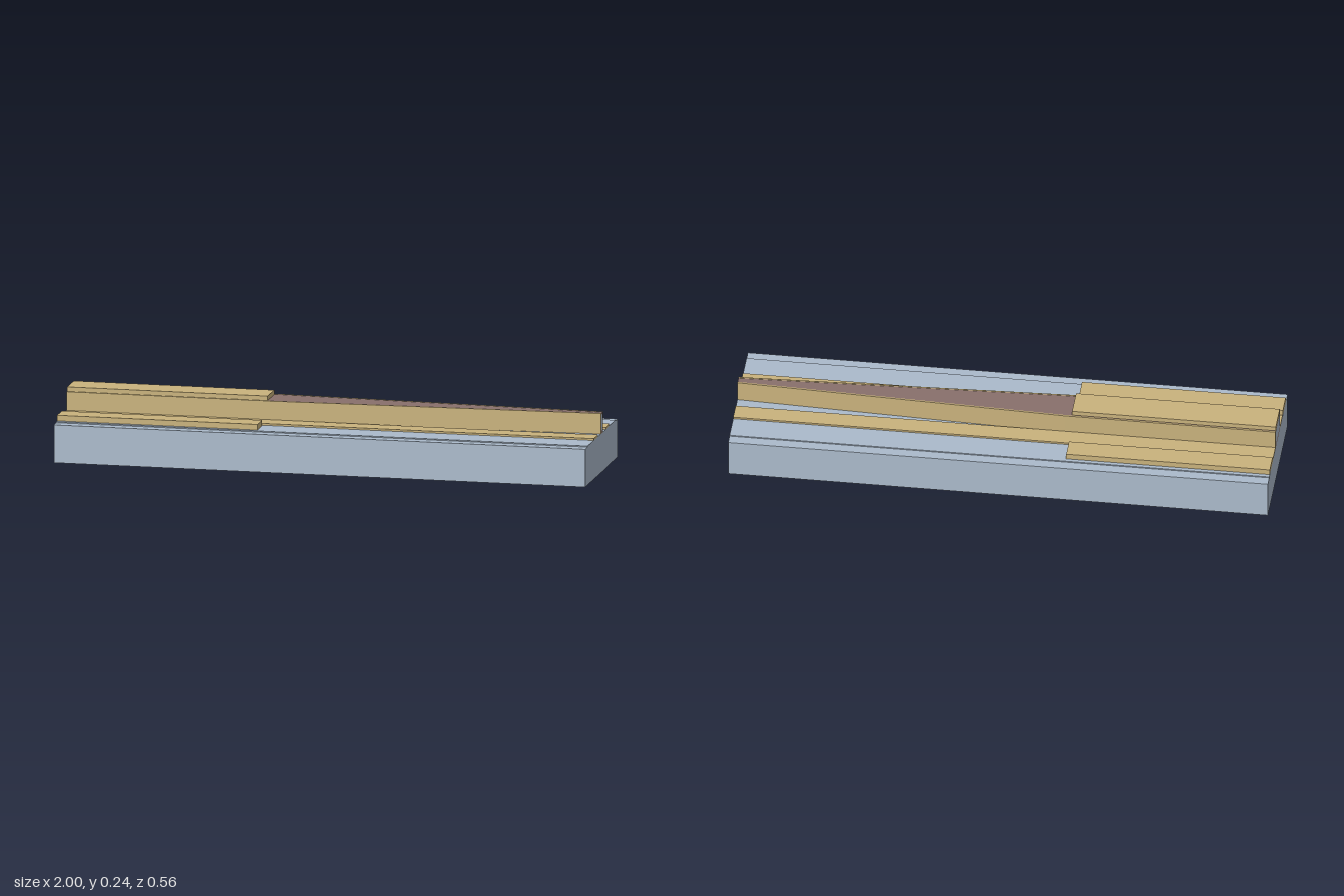
import * as THREE from 'three';

export function createModel() {
  const model = new THREE.Group();
  const substrate = new THREE.MeshStandardMaterial({ name: 'pale blue', color: 0xabbacb });
  const metal = new THREE.MeshStandardMaterial({ name: 'gold', color: 0xc9b27c });
  const cladding = new THREE.MeshStandardMaterial({ name: 'brown', color: 0x886f6b });

  const add = (name, geometry, material) => {
    const mesh = new THREE.Mesh(geometry, material);
    mesh.name = name;
    model.add(mesh);
  };

  // Box given by its extents along each axis
  const slab = (name, material, [x0, x1], [y0, y1], [z0, z1]) => {
    const geometry = new THREE.BoxGeometry(x1 - x0, y1 - y0, z1 - z0);
    geometry.translate((x0 + x1) / 2, (y0 + y1) / 2, (z0 + z1) / 2);
    add(name, geometry, material);
  };

  // Plan outline of [x, z] points raised from y0 to y1
  const prism = (name, material, outline, y0, y1) => {
    const shape = new THREE.Shape(outline.map(([x, z]) => new THREE.Vector2(x, -z)));
    const geometry = new THREE.ExtrudeGeometry(shape, { depth: y1 - y0, bevelEnabled: false });
    geometry.rotateX(-Math.PI / 2).translate(0, y0, 0);
    add(name, geometry, material);
  };

  // Base with a slightly raised deck
  const deck = 0.146, ridgeTop = 0.222, length = [-1, 1], padLength = [-1, -0.245];
  slab('base', substrate, length, [0, 0.142], [-0.28, 0.28]);
  slab('deck', substrate, length, [0.142, deck], [-0.24, 0.24]);

  // Layered ridge: straight at first, then tapering to the narrow end
  const inner = [[-1, 0.06], [-0.22, 0.06], [1, 0.012]];
  const outer = [[-1, 0.066], [-0.22, 0.066], [1, 0.018]];
  const mirror = (points) => points.map(([x, z]) => [x, -z]);
  const core = [...inner, ...mirror(inner).reverse()];
  prism('lowerCladding', cladding, core, deck, 0.157);
  prism('ridgeCore', substrate, core, 0.157, 0.217);
  prism('upperCladding', cladding, core, 0.217, ridgeTop);

  // Metal side walls, floor strips and contact pads on both sides
  const wall = [...outer, ...[...inner].reverse()];
  for (const side of [1, -1]) {
    const label = side > 0 ? 'front' : 'back';
    const span = (a, b) => (side > 0 ? [a, b] : [-b, -a]);
    prism(label + 'Wall', metal, side > 0 ? wall : mirror(wall), deck, 0.223);
    slab(label + 'Strip', metal, length, [deck, 0.153], span(0.066, 0.137));
    slab(label + 'Pad', metal, padLength, [deck, 0.167], span(0.146, 0.225));
  }

  // Top contact on the wide part of the ridge
  slab('topContact', metal, padLength, [ridgeTop, 0.239], [-0.056, 0.056]);
  return model;
}
